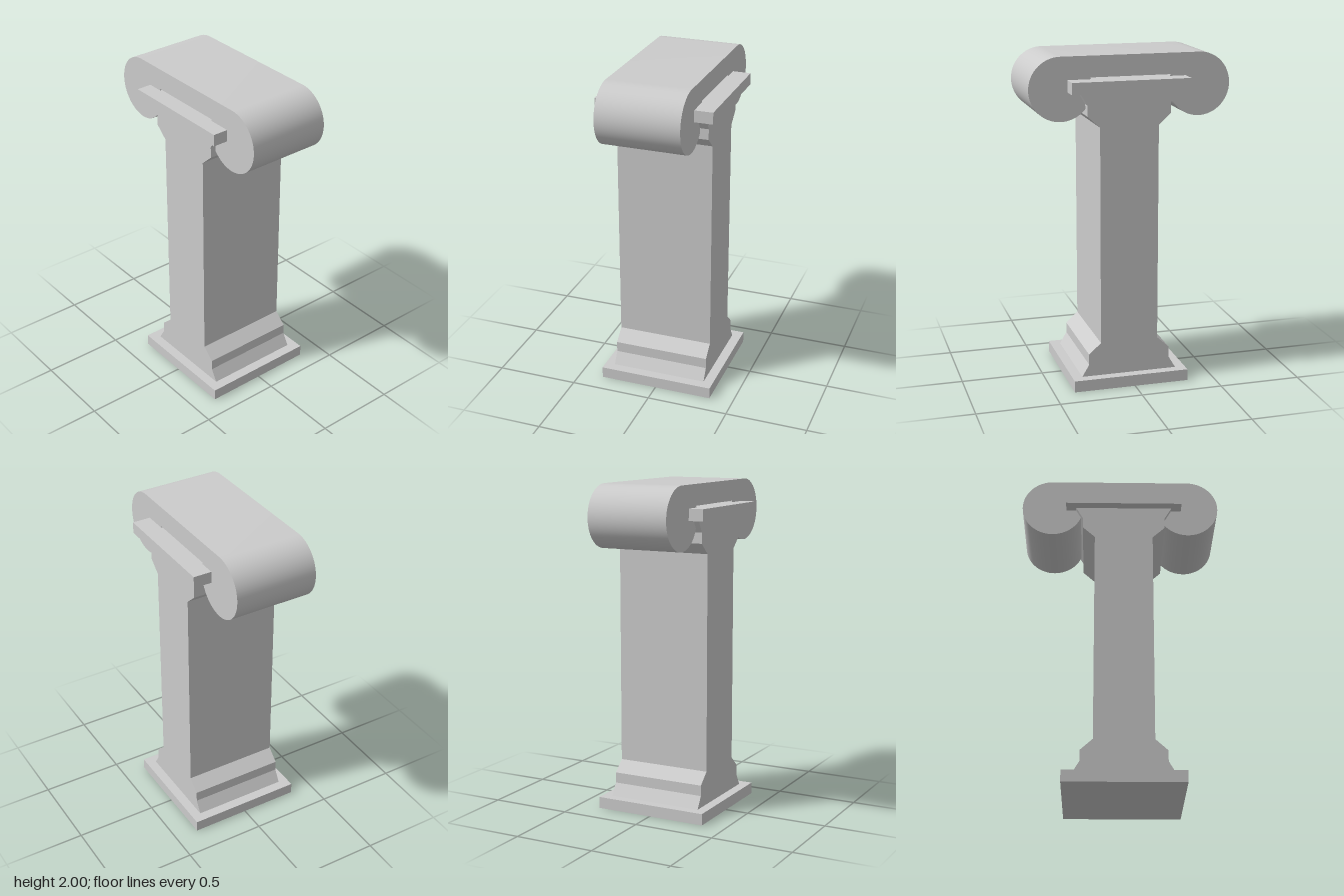
import * as THREE from 'three';
import { toCreasedNormals } from 'three/addons/utils/BufferGeometryUtils.js';

export function createModel() {
  const model = new THREE.Group();
  model.name = 'column';
  const material = new THREE.MeshStandardMaterial({ color: 0xcccccc });
  const axis = 0.0215; // the shaft stands slightly off the scroll's centre

  function add(name, geometry) {
    const mesh = new THREE.Mesh(geometry, material);
    mesh.name = name;
    model.add(mesh);
    return mesh;
  }

  function extrude(shape, zBack, zFront, curveSegments = 12) {
    const geometry = new THREE.ExtrudeGeometry(shape, {
      depth: zFront - zBack, bevelEnabled: false, curveSegments,
    });
    geometry.translate(0, 0, zBack);
    return toCreasedNormals(geometry, 0.5);
  }

  // Square plates under the foot and over the shaft
  const plateHeight = 0.07;
  for (const [name, y] of [['basePlate', 0], ['topPlate', 1.795]]) {
    add(name, new THREE.BoxGeometry(0.71, plateHeight, 0.708))
      .position.set(axis, y + plateHeight / 2, 0);
  }

  // Shaft with stepped mouldings, mirrored top to bottom and left to right
  const bottom = 0.07, top = 1.795;
  const moulding = [[0.294, bottom], [0.251, 0.143], [0.251, 0.208], [0.177, 0.275]];
  const rightEdge = [
    ...moulding,
    ...moulding.map(([x, y]) => [x, top + bottom - y]).reverse(),
  ];
  const outline = [
    ...rightEdge.map(([x, y]) => new THREE.Vector2(axis + x, y)),
    ...rightEdge.map(([x, y]) => new THREE.Vector2(axis - x, y)).reverse(),
  ];
  add('shaft', extrude(new THREE.Shape(outline), -0.295, 0.295));

  // Scroll capital: a flat bar running into a round volute at each end
  const radius = 0.1875, centreX = 0.4175, centreY = 2 - radius;
  const barBottom = 1.875;
  const join = Math.asin((barBottom - centreY) / radius);
  const scroll = new THREE.Shape();
  scroll.moveTo(-centreX, 2);
  scroll.lineTo(centreX, 2);
  scroll.absarc(centreX, centreY, radius, Math.PI / 2, -Math.PI - join, true);
  scroll.absarc(-centreX, centreY, radius, join, -Math.PI * 1.5, true);
  add('scrollCapital', extrude(scroll, -0.243, 0.263, 24));

  return model;
}
